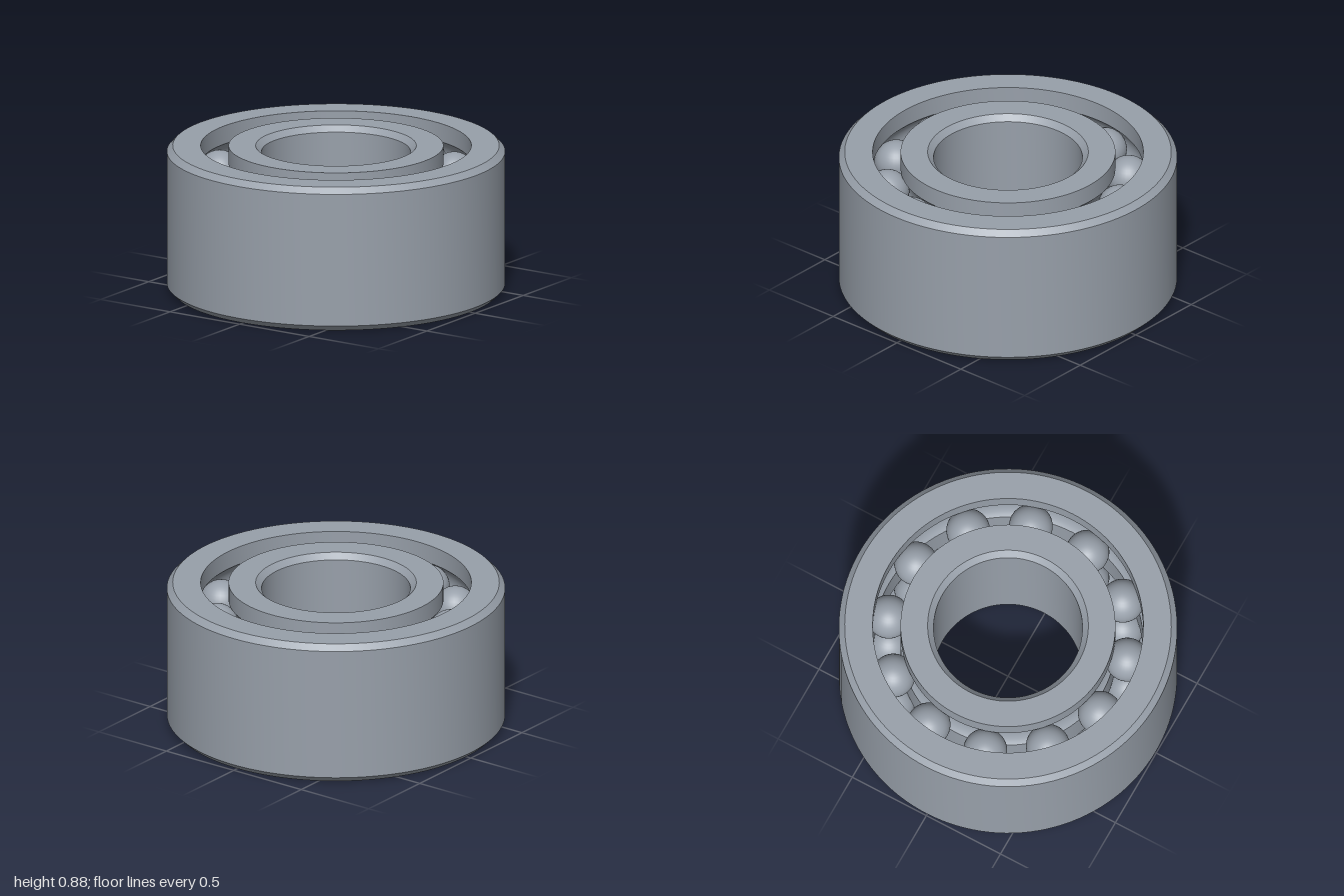
import * as THREE from 'three';
import { toCreasedNormals } from 'three/addons/utils/BufferGeometryUtils.js';

const HEIGHT = 0.875;
const CHAMFER = 0.035;
const OUTER_R = 1;
const BORE_R = 0.44;
const OUTER_LAND = 0.8; // inner wall of the outer ring
const INNER_LAND = 0.635; // outer wall of the inner ring
const PITCH_R = (OUTER_LAND + INNER_LAND) / 2;
const BALL_R = 0.13;
const GROOVE_R = 0.133;
const BALLS = 12;
const ROWS = [0.215, HEIGHT - 0.215];

// Points of one ball groove, bottom to top; side is +1 for outer ring, -1 for inner
function groove(y, side) {
  const half = Math.acos((OUTER_LAND - PITCH_R) / GROOVE_R);
  const points = [];
  for (let i = 0; i <= 12; i++) {
    const t = half * (i / 6 - 1);
    points.push([PITCH_R + side * GROOVE_R * Math.cos(t), y + GROOVE_R * Math.sin(t)]);
  }
  return points;
}

// Closed ring turned from a counter-clockwise profile, with sharp edges
function ring(name, profile, material) {
  const points = [...profile, profile[0]].map(([r, y]) => new THREE.Vector2(r, y));
  const geometry = toCreasedNormals(new THREE.LatheGeometry(points, 128), 0.4);
  const mesh = new THREE.Mesh(geometry, material);
  mesh.name = name;
  return mesh;
}

export function createModel() {
  const model = new THREE.Group();
  model.name = 'ballBearing';
  const steel = new THREE.MeshStandardMaterial({ color: 0x98a0aa });
  steel.name = 'steel grey';

  // Outer ring: chamfered outside, two grooves inside
  model.add(ring('outerRing', [
    [OUTER_LAND, 0],
    [OUTER_R - CHAMFER, 0],
    [OUTER_R, CHAMFER],
    [OUTER_R, HEIGHT - CHAMFER],
    [OUTER_R - CHAMFER, HEIGHT],
    [OUTER_LAND, HEIGHT],
    ...ROWS.flatMap((y) => groove(y, 1)).reverse(),
  ], steel));

  // Inner ring: two grooves outside, chamfered bore
  model.add(ring('innerRing', [
    [BORE_R + CHAMFER, 0],
    [INNER_LAND, 0],
    ...ROWS.flatMap((y) => groove(y, -1)),
    [INNER_LAND, HEIGHT],
    [BORE_R + CHAMFER, HEIGHT],
    [BORE_R, HEIGHT - CHAMFER],
    [BORE_R, CHAMFER],
  ], steel));

  // Two aligned rows of balls
  const ballGeometry = new THREE.SphereGeometry(BALL_R, 32, 20);
  ROWS.forEach((y, row) => {
    const balls = new THREE.Group();
    balls.name = row ? 'upperBalls' : 'lowerBalls';
    for (let i = 0; i < BALLS; i++) {
      const a = THREE.MathUtils.degToRad(12 + (i * 360) / BALLS);
      const ball = new THREE.Mesh(ballGeometry, steel);
      ball.name = 'ball';
      ball.position.set(PITCH_R * Math.sin(a), y, -PITCH_R * Math.cos(a));
      balls.add(ball);
    }
    model.add(balls);
  });

  return model;
}
